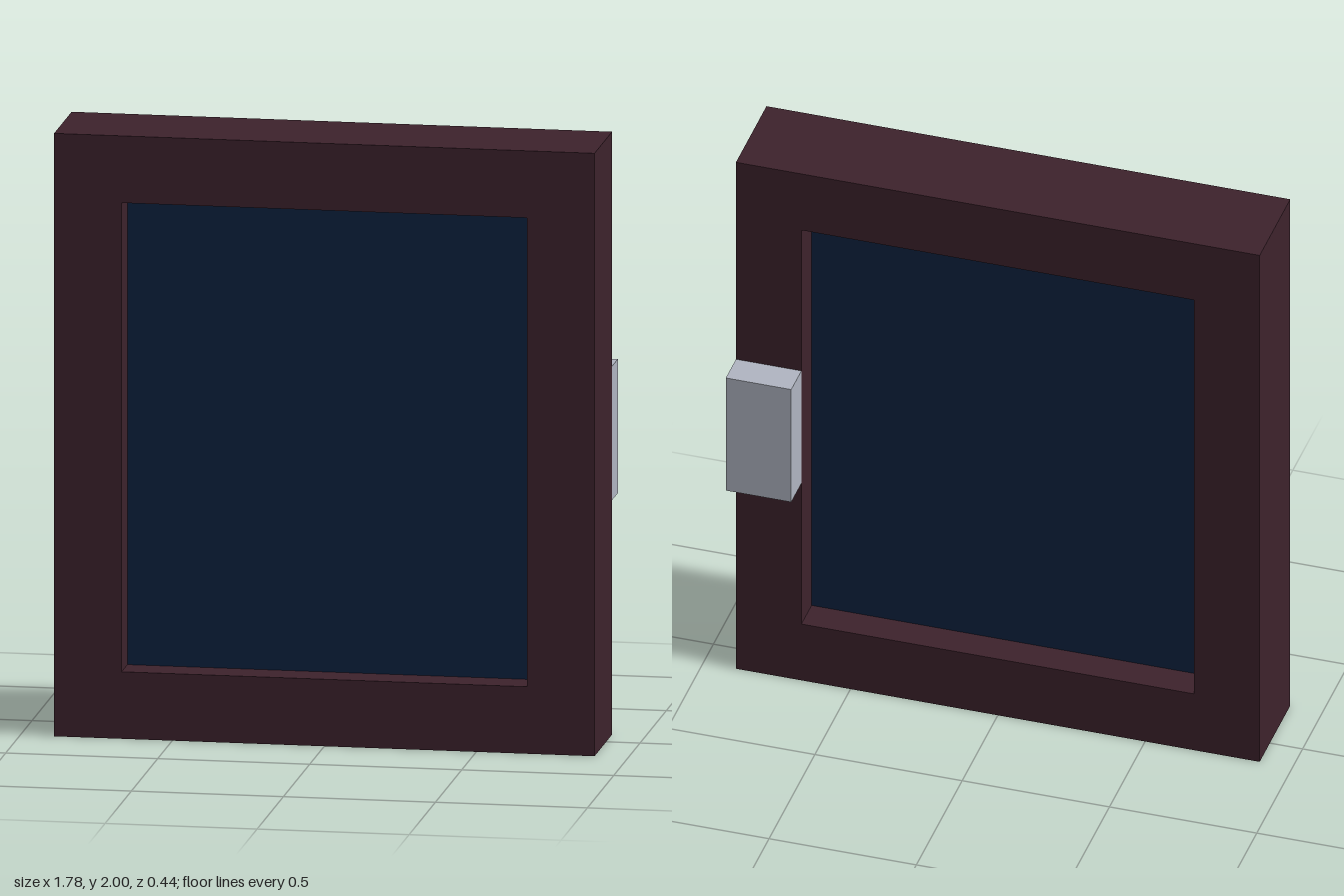
import * as THREE from 'three';

const U = 1 / 9; // modelling unit: the frame is 16 x 18 x 3 units

export function createModel() {
  const model = new THREE.Group();
  model.name = 'framedWindow';

  const material = (name, color) => {
    const m = new THREE.MeshStandardMaterial({ color });
    m.name = name;
    return m;
  };
  const frameMat = material('dark maroon', 0x3d222c);
  const glassMat = material('navy glass', 0x0d2240);
  const handleMat = material('pale grey', 0xb0b5c1);

  const add = (name, geometry, mat, x, y, z) => {
    const mesh = new THREE.Mesh(geometry, mat);
    mesh.name = name;
    mesh.position.set(x * U, y * U, z * U);
    model.add(mesh);
  };
  const box = (w, h, d) => new THREE.BoxGeometry(w * U, h * U, d * U);

  // Rectangle path centred on x, from height y0 to y1
  const rect = (path, halfW, y0, y1) => {
    path.moveTo(-halfW * U, y0 * U);
    path.lineTo(halfW * U, y0 * U);
    path.lineTo(halfW * U, y1 * U);
    path.lineTo(-halfW * U, y1 * U);
    path.closePath();
    return path;
  };

  // Frame with a rectangular opening
  const outline = rect(new THREE.Shape(), 8, 0, 18);
  outline.holes.push(rect(new THREE.Path(), 6, 2, 16));
  const frame = new THREE.ExtrudeGeometry(outline, { depth: 3 * U, bevelEnabled: false });
  add('frame', frame, frameMat, 0, 0, -1);

  // Pane recessed one unit from both faces
  add('pane', box(12, 14, 1), glassMat, 0, 9, 0.5);

  // Handle block on the back, flush with the frame's left edge
  add('handle', box(2, 4, 1), handleMat, 7, 9, -1.5);

  return model;
}
